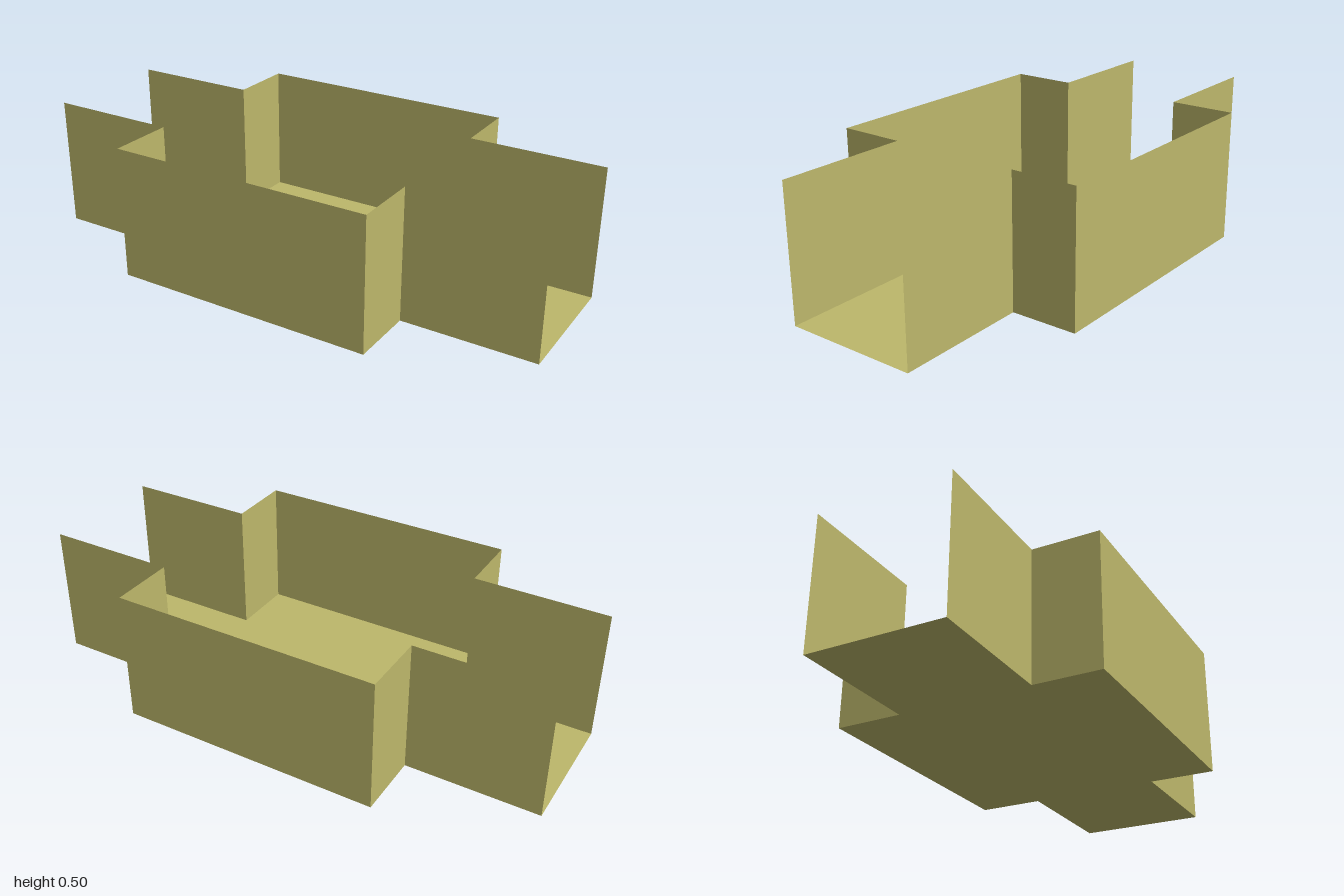
import * as THREE from 'three';

const HEIGHT = 0.5;

// Plan outline of one long side, from one open end to the other
const SIDE = [[-1, 0.25], [-0.5, 0.25], [-0.5, 0.5], [0.5, 0.5], [0.5, 0.25], [1, 0.25]];

export function createModel() {
  const model = new THREE.Group();
  model.name = 'openChannel';
  const material = new THREE.MeshStandardMaterial({ color: 0xbdb76b, side: THREE.DoubleSide });

  // Cross-shaped floor
  const outline = [...SIDE, ...SIDE.map(([x, z]) => [-x, -z])];
  const shape = new THREE.Shape(outline.map(([x, z]) => new THREE.Vector2(x, -z)));
  const floor = new THREE.Mesh(new THREE.ShapeGeometry(shape).rotateX(-Math.PI / 2), material);
  floor.name = 'floor';
  model.add(floor);

  // Thin stepped walls on the front and, turned half round, on the back; the ends stay open
  for (const name of ['frontWall', 'backWall']) {
    const wall = new THREE.Group();
    wall.name = name;
    for (let i = 0; i < SIDE.length - 1; i++) {
      const [x0, z0] = SIDE[i];
      const [x1, z1] = SIDE[i + 1];
      const panel = new THREE.Mesh(new THREE.PlaneGeometry(Math.hypot(x1 - x0, z1 - z0), HEIGHT), material);
      panel.name = 'wallPanel';
      panel.position.set((x0 + x1) / 2, HEIGHT / 2, (z0 + z1) / 2);
      panel.rotation.y = -Math.atan2(z1 - z0, x1 - x0);
      wall.add(panel);
    }
    if (name === 'backWall') wall.rotation.y = Math.PI;
    model.add(wall);
  }

  return model;
}
